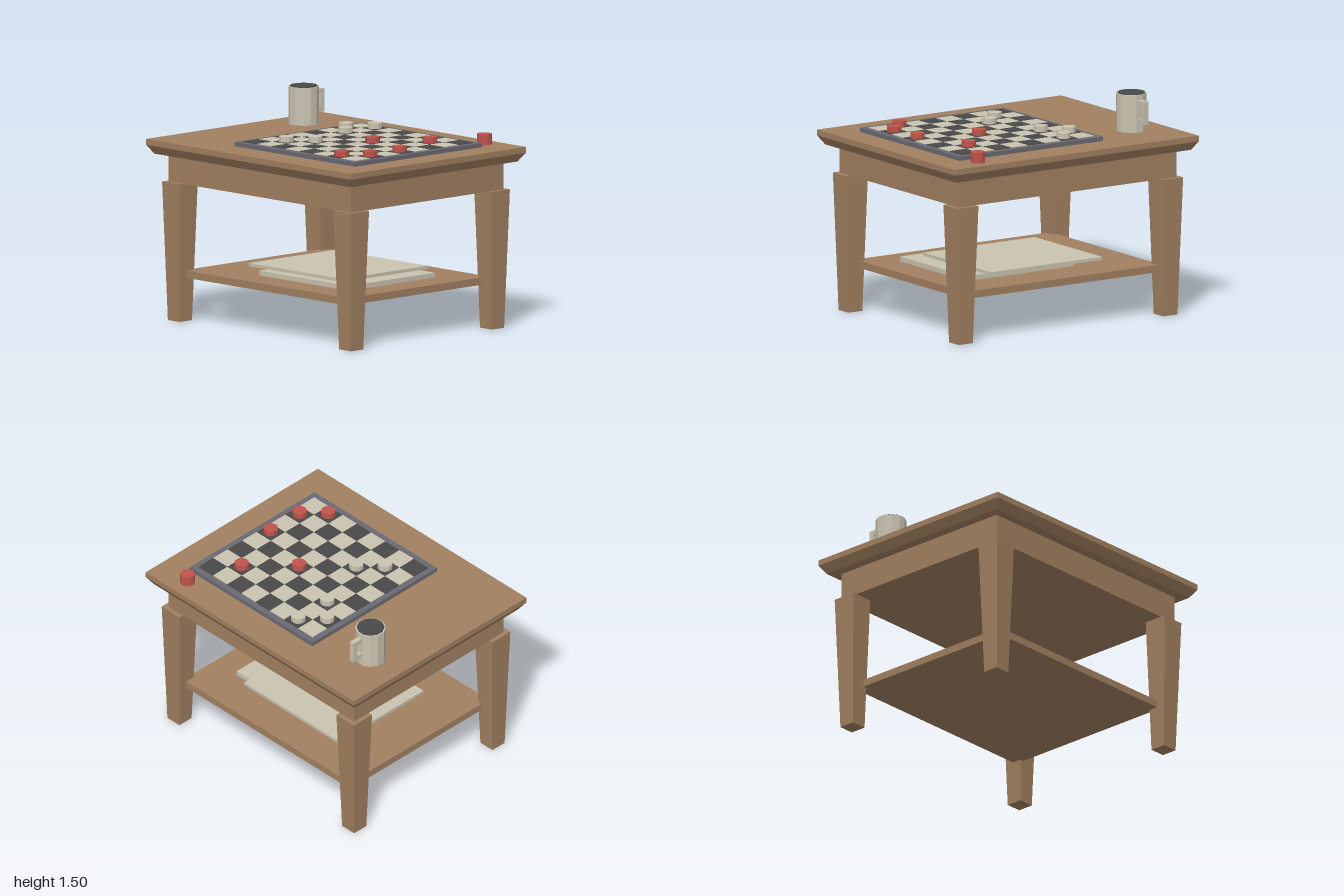
import * as THREE from 'three';

const mat = (name, color) => {
  const m = new THREE.MeshStandardMaterial({ color });
  m.name = name;
  return m;
};

export function createModel() {
  const wood = mat('wood', 0xa18060);
  const cream = mat('cream', 0xcac3b1);
  const dark = mat('charcoal', 0x484848);
  const slate = mat('slate', 0x6a6972);
  const red = mat('red', 0xc0544c);

  const model = new THREE.Group();
  model.name = 'gameTable';

  const add = (parent, name, geometry, material) => {
    const mesh = new THREE.Mesh(geometry, material);
    mesh.name = name;
    parent.add(mesh);
    return mesh;
  };
  const group = (name) => {
    const g = new THREE.Group();
    g.name = name;
    model.add(g);
    return g;
  };
  // Box given by its extents on each axis
  const box = (parent, name, material, [x0, x1], [y0, y1], [z0, z1]) => {
    const mesh = add(parent, name, new THREE.BoxGeometry(x1 - x0, y1 - y0, z1 - z0), material);
    mesh.position.set((x0 + x1) / 2, (y0 + y1) / 2, (z0 + z1) / 2);
    return mesh;
  };
  // Box whose lower end has its own width and depth
  const taperedBox = (topW, topD, bottomW, bottomD, height) => {
    const g = new THREE.BoxGeometry(topW, height, topD);
    const p = g.attributes.position;
    for (let i = 0; i < p.count; i++) {
      if (p.getY(i) < 0) {
        p.setX(i, Math.sign(p.getX(i)) * bottomW / 2);
        p.setZ(i, Math.sign(p.getZ(i)) * bottomD / 2);
      }
    }
    const flat = g.toNonIndexed();
    flat.computeVertexNormals();
    return flat;
  };
  // Faceted upright cylinder standing on height y
  const drum = (parent, name, material, sides, radius, height, x, y, z) => {
    const g = new THREE.CylinderGeometry(radius, radius, height, sides, 1, false, Math.PI / sides).toNonIndexed();
    g.computeVertexNormals();
    const mesh = add(parent, name, g, material);
    mesh.position.set(x, y + height / 2, z);
    return mesh;
  };

  // Table: slab with bevelled underside, apron, shelf and legs
  const table = group('table');
  box(table, 'tableTop', wood, [-0.815, 0.815], [1.195, 1.235], [-1, 1]);
  add(table, 'topBevel', taperedBox(1.63, 2, 1.55, 1.92, 0.06), wood).position.y = 1.165;
  box(table, 'apron', wood, [-0.707, 0.707], [0.945, 1.135], [-0.892, 0.892]);
  box(table, 'shelf', wood, [-0.655, 0.655], [0.295, 0.345], [-0.8, 0.8]);
  for (const sx of [-1, 1]) {
    for (const sz of [-1, 1]) {
      const leg = add(table, 'leg', taperedBox(0.17, 0.17, 0.115, 0.115, 0.945), wood);
      leg.position.set(sx * 0.654, 0.4725, sz * 0.838);
    }
  }

  // Flat boxes stored on the shelf
  const stored = group('storedBoxes');
  box(stored, 'lowerBox', cream, [-0.435, 0.362], [0.345, 0.378], [-0.29, 0.585]);
  box(stored, 'upperBox', cream, [-0.362, 0.435], [0.378, 0.4], [-0.47, 0.44]);

  // Checkered board with thin square tiles
  const board = group('board');
  const boardZ = 0.217, cell = 0.1365, tileTop = 1.268;
  const cellX = (col) => (col - 3.5) * cell;
  const cellZ = (row) => boardZ + (row - 3.5) * cell;
  box(board, 'boardFrame', slate, [-0.59, 0.59], [1.235, 1.264], [boardZ - 0.588, boardZ + 0.588]);
  const tile = new THREE.BoxGeometry(cell, 0.005, cell);
  for (let row = 0; row < 8; row++) {
    for (let col = 0; col < 8; col++) {
      const square = add(board, 'tile', tile, (row + col) % 2 ? cream : dark);
      square.position.set(cellX(col), tileTop - 0.0025, cellZ(row));
    }
  }

  // Playing pieces as [column, row]
  const pieces = group('pieces');
  const place = (name, material, spots) => {
    for (const [col, row] of spots) {
      drum(pieces, name, material, 10, 0.05, 0.038, cellX(col), tileTop, cellZ(row));
    }
  };
  place('creamPiece', cream, [[6, 0], [1, 1], [5, 1], [7, 1], [2, 2]]);
  place('redPiece', red, [[4, 4], [0, 6], [6, 6], [1, 7], [3, 7]]);
  drum(pieces, 'capturedPieces', red, 10, 0.05, 0.073, 0.69, 1.235, 0.725);

  // Mug with dark drink and a squared handle
  const mug = group('mug');
  const mx = 0.397, mz = -0.735;
  drum(mug, 'mugBody', cream, 12, 0.103, 0.257, mx, 1.235, mz);
  drum(mug, 'drink', dark, 12, 0.093, 0.006, mx, 1.492, mz);
  const depth = [mz - 0.017, mz + 0.017];
  box(mug, 'handleTop', cream, [0.48, 0.54], [1.423, 1.458], depth);
  box(mug, 'handleBottom', cream, [0.48, 0.54], [1.298, 1.333], depth);
  box(mug, 'handleGrip', cream, [0.54, 0.575], [1.298, 1.458], depth);

  return model;
}
